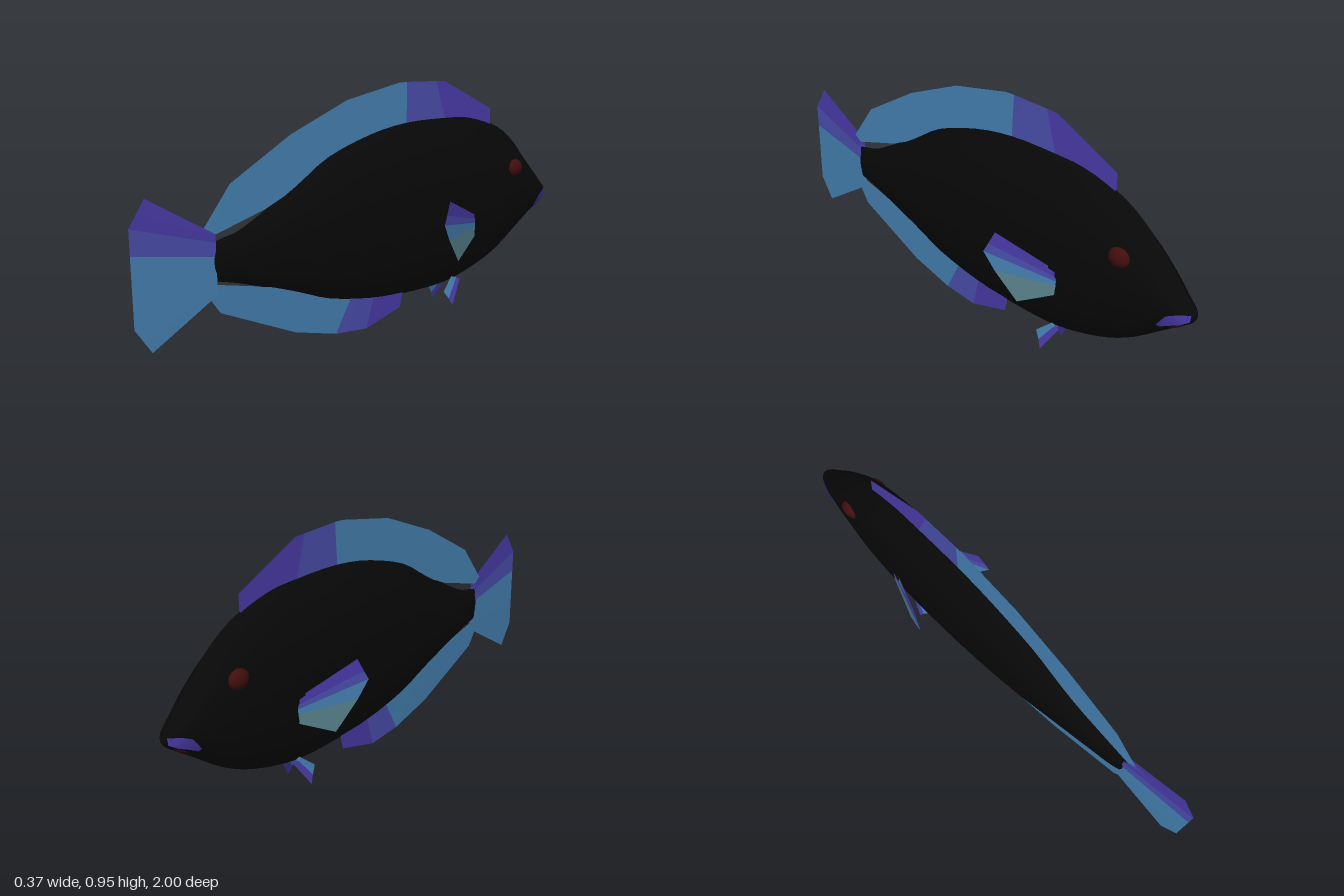
import * as THREE from 'three';

const paint = (name, color, side = THREE.FrontSide) => {
  const m = new THREE.MeshStandardMaterial({ color, side });
  m.name = name;
  return m;
};

// Body profile from tail to snout: z, top y, bottom y, half width
const PROFILE = [
  [0.70, 0.485, 0.348, 0.010], [0.65, 0.495, 0.335, 0.024], [0.57, 0.517, 0.31, 0.033],
  [0.355, 0.63, 0.23, 0.055], [0.20, 0.72, 0.168, 0.07], [0, 0.78, 0.125, 0.083],
  [-0.18, 0.805, 0.11, 0.091], [-0.375, 0.803, 0.108, 0.093], [-0.515, 0.79, 0.13, 0.092],
  [-0.66, 0.745, 0.175, 0.087], [-0.77, 0.68, 0.232, 0.077], [-0.875, 0.57, 0.308, 0.06],
  [-0.94, 0.49, 0.354, 0.045], [-0.985, 0.445, 0.388, 0.027], [-1, 0.428, 0.408, 0.008],
];
// The profile smoothed by splines, three steps to each interval
const lengths = new THREE.SplineCurve(PROFILE.map((p) => new THREE.Vector2(p[0], p[3])));
const heights = new THREE.SplineCurve(PROFILE.map((p) => new THREE.Vector2(p[1], p[2])));
const STEPS = (PROFILE.length - 1) * 3;
const STATIONS = Array.from({ length: STEPS + 1 }, (_, i) => {
  const l = lengths.getPoint(i / STEPS), h = heights.getPoint(i / STEPS);
  return [l.x, h.x, h.y, l.y];
});
// Half cross-section, top to bottom: fraction of half width, fraction of half height
const SECTION = [[0, 1], [0.82, 0.66], [1, 0.2], [1, -0.2], [0.8, -0.65], [0, -1]];

// Half width of the body at a given z and y
function bodyX(z, y) {
  let i = 0;
  while (i < STATIONS.length - 2 && STATIONS[i + 1][0] > z) i++;
  const a = STATIONS[i], b = STATIONS[i + 1], f = (z - a[0]) / (b[0] - a[0]);
  const [, top, bottom, w] = a.map((v, k) => v + (b[k] - v) * f);
  const v = THREE.MathUtils.clamp((2 * y - top - bottom) / (top - bottom), -1, 1);
  let k = 0;
  while (k < SECTION.length - 2 && SECTION[k + 1][1] > v) k++;
  const p = SECTION[k], q = SECTION[k + 1];
  return w * (p[0] + (q[0] - p[0]) * (v - p[1]) / (q[1] - p[1]));
}

// Smooth body lofted through the stations and closed at both ends
function bodyGeometry() {
  const ring = [...SECTION, ...SECTION.slice(1, -1).reverse().map(([x, y]) => [-x, y])];
  const n = ring.length, pos = [], idx = [];
  for (const [z, top, bottom, w] of STATIONS) {
    for (const [x, y] of ring) pos.push(x * w, (top + bottom) / 2 + y * (top - bottom) / 2, z);
  }
  const last = (STATIONS.length - 1) * n;
  for (let s = 0; s < last; s += n) {
    for (let k = 0; k < n; k++) {
      const a = s + k, b = s + (k + 1) % n;
      idx.push(a, b, a + n, b, b + n, a + n);
    }
  }
  for (let k = 1; k < n - 1; k++) {
    idx.push(0, k + 1, k, last, last + k, last + k + 1);
  }
  const g = new THREE.BufferGeometry();
  g.setAttribute('position', new THREE.Float32BufferAttribute(pos, 3));
  g.setIndex(idx);
  g.computeVertexNormals();
  return g;
}

// Fin of two sheets meeting at the outer edge, t apart from the middle at the base.
// Each row is [outer z, outer y, base z, base y]; each gap between rows has one material.
function fin(name, rows, materials, t, xAt = () => 0) {
  const pos = [], idx = [], g = new THREE.BufferGeometry(), n = rows.length * 2;
  for (const s of [1, -1]) {
    for (const [zo, yo, zb, yb] of rows) {
      pos.push(xAt(zo, yo) + s * 0.0008, yo, zo, xAt(zb, yb) + s * t, yb, zb);
    }
  }
  for (let i = 0; i < rows.length - 1; i++) {
    const a = i * 2, b = a + n;
    idx.push(a, a + 1, a + 2, a + 1, a + 3, a + 2, b, b + 2, b + 1, b + 1, b + 2, b + 3);
    g.addGroup(i * 12, 12, i);
  }
  g.setAttribute('position', new THREE.Float32BufferAttribute(pos, 3));
  g.setIndex(idx);
  g.computeVertexNormals();
  const mesh = new THREE.Mesh(g, materials);
  mesh.name = name;
  return mesh;
}

export function createModel() {
  const model = new THREE.Group();
  model.name = 'fish';
  const black = paint('black', 0x080808);
  const red = paint('dark red', 0x420e0e);
  const blue = paint('blue', 0x4682b4, THREE.DoubleSide);
  const violet = paint('blue violet', 0x4b4fae, THREE.DoubleSide);
  const purple = paint('purple', 0x4b3bab, THREE.DoubleSide);
  const teal = paint('grey teal', 0x5a8590, THREE.DoubleSide);

  const body = new THREE.Mesh(bodyGeometry(), black);
  body.name = 'body';
  model.add(body);

  // Fins on the centre line
  model.add(fin('dorsalFin', [
    [0.735, 0.53, 0.70, 0.508], [0.62, 0.676, 0.48, 0.567], [0.365, 0.815, 0.30, 0.64],
    [0.11, 0.912, 0.09, 0.73], [-0.145, 0.955, -0.15, 0.78], [-0.185, 0.955, -0.18, 0.785],
    [-0.34, 0.946, -0.39, 0.785], [-0.385, 0.943, -0.43, 0.78], [-0.65, 0.81, -0.65, 0.72],
  ], [blue, blue, blue, blue, blue, violet, purple, purple], 0.004));
  model.add(fin('analFin', [
    [0.73, 0.31, 0.70, 0.335], [0.675, 0.228, 0.52, 0.29], [0.36, 0.078, 0.355, 0.25],
    [0.17, 0.024, 0.09, 0.17], [0.02, 0.008, -0.02, 0.15], [-0.155, 0.055, -0.17, 0.13],
  ], [blue, blue, blue, violet, purple], 0.004));
  model.add(fin('tailFin', [
    [0.94, 0.675, 0.69, 0.515], [1, 0.585, 0.69, 0.485], [1, 0.495, 0.69, 0.435],
    [1, 0.245, 0.69, 0.335], [0.94, 0.152, 0.69, 0.30],
  ], [purple, violet, blue, blue], 0.011));

  // Paired parts
  for (const [side, s] of [['left', 1], ['right', -1]]) {
    model.add(fin(side + 'PectoralFin', [
      [-0.262, 0.505, -0.485, 0.40], [-0.238, 0.455, -0.485, 0.383], [-0.22, 0.42, -0.485, 0.367],
      [-0.262, 0.35, -0.485, 0.35], [-0.345, 0.243, -0.48, 0.31],
    ], [purple, violet, blue, teal], 0.006, (z) => s * (0.09 + 0.375 * (z + 0.47))));

    model.add(fin(side + 'PelvicFin', [
      [-0.395, 0.025, -0.455, 0.122], [-0.38, 0.055, -0.437, 0.13], [-0.36, 0.085, -0.42, 0.135],
    ], [purple, blue], 0.006, (z, y) => s * (0.03 + 0.27 * (0.135 - y))));

    model.add(fin(side + 'Lip', [
      [-0.993, 0.43, -0.992, 0.405], [-0.955, 0.425, -0.965, 0.388],
      [-0.92, 0.41, -0.92, 0.368], [-0.885, 0.362, -0.89, 0.35],
    ], [purple, purple, purple], 0.001, (z, y) => s * (bodyX(z, y) + 0.005)));

    const eye = new THREE.Mesh(new THREE.SphereGeometry(1, 16, 12), red);
    eye.name = side + 'Eye';
    eye.scale.set(0.026, 0.037, 0.042);
    eye.position.set(s * 0.07, 0.558, -0.733);
    model.add(eye);
  }

  // Red underside of the mouth
  const chin = new THREE.Mesh(new THREE.SphereGeometry(1, 12, 8), red);
  chin.name = 'chin';
  chin.scale.set(0.022, 0.012, 0.046);
  chin.position.set(0, 0.365, -0.935);
  chin.rotation.x = 0.62;
  model.add(chin);

  return model;
}
